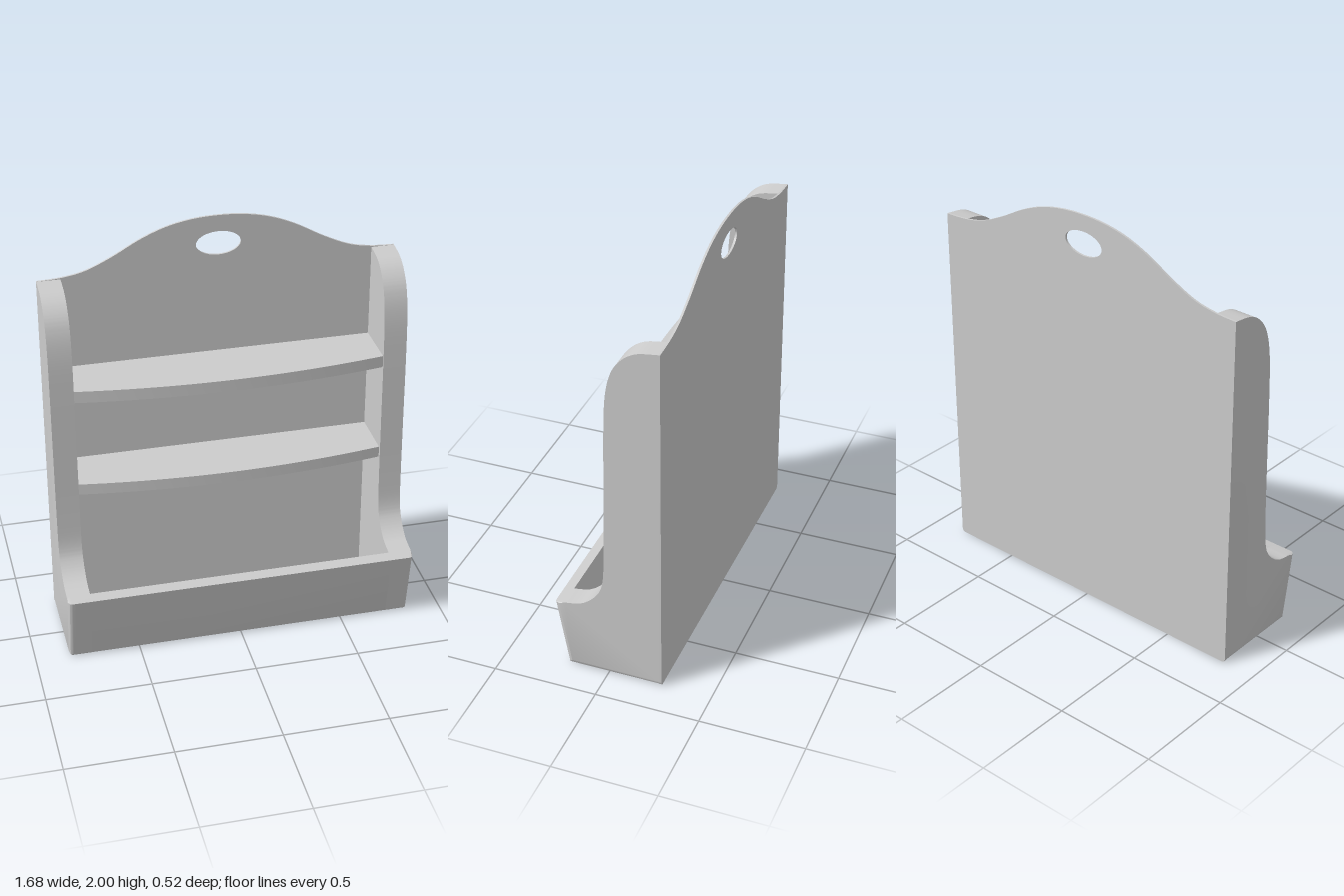
import * as THREE from 'three';
import { toCreasedNormals } from 'three/addons/utils/BufferGeometryUtils.js';

const W = 0.84, INNER = 0.73, BACK = -0.26, PANEL = 0.01, R = 0.022;

const v2 = (pts) => pts.map(([a, b]) => new THREE.Vector2(a, b));

// Extrude a (z, y) profile along x, from x0 to x1
function extrudeAcross(shape, x0, x1, steps = 1) {
  const geo = new THREE.ExtrudeGeometry(shape, { depth: x1 - x0, steps, bevelEnabled: false });
  geo.rotateY(-Math.PI / 2);
  geo.translate(x1, 0, 0);
  return geo;
}

// Side profile: slanted foot, sweeping front edge, rounded shoulder
function sideShape() {
  const s = new THREE.Shape();
  s.moveTo(BACK + PANEL, 0);
  s.lineTo(0.19, 0);
  s.quadraticCurveTo(0.2, 0, 0.202, 0.012);
  s.lineTo(0.26, 0.34);
  s.lineTo(0.21, 0.351);
  s.splineThru(v2([[0.127, 0.37], [0.06, 0.425], [0.024, 0.5], [0.012, 0.65], [0.005, 0.97],
    [0, 1.29], [-0.01, 1.5], [-0.037, 1.625], [-0.085, 1.7], [-0.153, 1.745], [BACK + PANEL, 1.762]]));
  return s;
}

// Round the outer corners at the foot and the slanted front
function roundOuterCorners(geo) {
  const p = geo.attributes.position;
  for (let i = 0; i < p.count; i++) {
    const dx = Math.min(R, Math.max(0, Math.abs(p.getX(i)) - (W - R)));
    if (dx === 0) continue;
    const inset = R - Math.sqrt(R * R - dx * dx);
    const y = Math.max(p.getY(i), inset);
    p.setY(i, y);
    p.setZ(i, Math.min(p.getZ(i), 0.2 + 0.06 * y / 0.34 - inset));
  }
  return geo;
}

// Back board with an arched crest and an oval hanging hole
function backGeometry() {
  const crest = [[0.73, 1.768], [0.62, 1.79], [0.5, 1.843], [0.36, 1.92], [0.24, 1.968], [0.12, 1.993]];
  const s = new THREE.Shape();
  s.moveTo(-W + R, 0);
  s.lineTo(W - R, 0);
  s.quadraticCurveTo(W, 0, W, R);
  s.lineTo(W, 1.762);
  s.splineThru(v2([...crest, [0, 2], ...crest.map(([x, y]) => [-x, y]).reverse(), [-W, 1.762]]));
  s.lineTo(-W, R);
  s.quadraticCurveTo(-W, 0, -W + R, 0);
  const hole = new THREE.Path();
  hole.absellipse(0, 1.863, 0.105, 0.058, 0, Math.PI * 2, true);
  s.holes.push(hole);
  const geo = new THREE.ExtrudeGeometry(s, { depth: PANEL, bevelEnabled: false, curveSegments: 24 });
  geo.translate(0, 0, BACK);
  return geo;
}

// Shelf board with a bowed front edge
function shelfGeometry(y0, y1) {
  const back = BACK + PANEL;
  const s = new THREE.Shape();
  s.moveTo(-INNER, -back);
  s.lineTo(-INNER, 0.005);
  // drawn with y as -z, then laid flat
  for (let i = 0; i <= 24; i++) {
    const t = -1 + i / 12;
    s.lineTo(t * INNER, 0.008 - 0.058 * (1 - t * t));
  }
  s.lineTo(INNER, -back);
  const geo = new THREE.ExtrudeGeometry(s, { depth: y1 - y0, bevelEnabled: false });
  geo.rotateX(-Math.PI / 2);
  geo.translate(0, y0, 0);
  return geo;
}

export function createModel() {
  const group = new THREE.Group();
  group.name = 'wallShelf';
  const grey = new THREE.MeshStandardMaterial({ color: 0xcccccc });
  grey.name = 'light grey';

  const add = (name, geo) => {
    const mesh = new THREE.Mesh(toCreasedNormals(geo, 0.5), grey);
    mesh.name = name;
    group.add(mesh);
  };

  add('backBoard', backGeometry());
  add('leftSide', roundOuterCorners(extrudeAcross(sideShape(), INNER, W, 15)));
  add('rightSide', roundOuterCorners(extrudeAcross(sideShape(), -W, -INNER, 15)));

  // Floor and slanted front of the lower tray
  const tray = new THREE.Shape(v2([[BACK + PANEL, 0], [0.19, 0], [0.198, 0.003], [0.202, 0.012],
    [0.26, 0.34], [0.21, 0.351], [0.15, 0.015], [BACK + PANEL, 0.015]]));
  add('tray', extrudeAcross(tray, -INNER, INNER));

  add('lowerShelf', shelfGeometry(0.765, 0.82));
  add('upperShelf', shelfGeometry(1.255, 1.313));
  return group;
}
